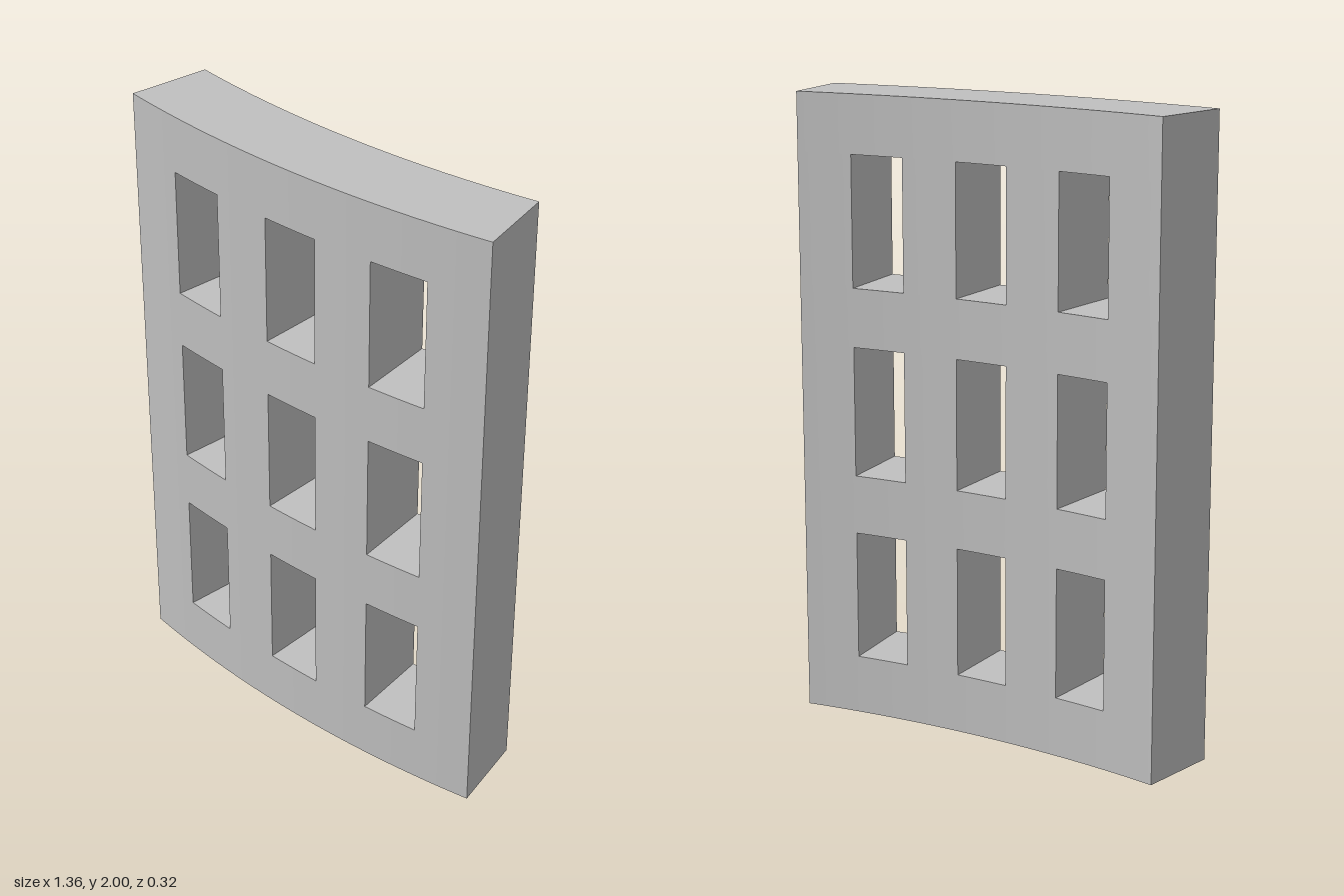
import * as THREE from 'three';

const OUTER = 4.01, INNER = 3.744, AXIS_Z = -3.85; // radii and axis of the curved wall
const STEPS = 6; // facets per angular band

// Band edges: odd bands in both directions are window openings
const ANGLES = [-0.1704, -0.1212, -0.0736, -0.0237, 0.0237, 0.0736, 0.1212, 0.1704];
const HEIGHTS = [0, 0.19, 0.606, 0.795, 1.211, 1.399, 1.815, 2];

const point = (a, r, y) => new THREE.Vector3(r * Math.sin(a), y, AXIS_Z + r * Math.cos(a));
const radial = (a, s) => new THREE.Vector3(s * Math.sin(a), 0, s * Math.cos(a));
const tangent = (a, s) => new THREE.Vector3(s * Math.cos(a), 0, -s * Math.sin(a));

function solid(i, j) {
  if (i < 0 || j < 0 || i > 6 || j > 6) return false;
  return !(i % 2 === 1 && j % 2 === 1);
}

function curvedWallGeometry() {
  const positions = [], normals = [];

  // Adds a quad, turning its corners to agree with the normals
  function quad(p, n) {
    const cross = p[1].clone().sub(p[0]).cross(p[2].clone().sub(p[0]));
    const order = cross.dot(n[0]) > 0 ? [0, 1, 2, 0, 2, 3] : [0, 2, 1, 0, 3, 2];
    for (const k of order) {
      positions.push(...p[k].toArray());
      normals.push(...n[k].toArray());
    }
  }

  for (let i = 0; i < 7; i++) {
    for (let j = 0; j < 7; j++) {
      if (!solid(i, j)) continue;
      const y0 = HEIGHTS[j], y1 = HEIGHTS[j + 1];

      for (let k = 0; k < STEPS; k++) {
        const a = THREE.MathUtils.lerp(ANGLES[i], ANGLES[i + 1], k / STEPS);
        const b = THREE.MathUtils.lerp(ANGLES[i], ANGLES[i + 1], (k + 1) / STEPS);

        // Front and back curved faces
        for (const [r, s] of [[OUTER, 1], [INNER, -1]]) {
          quad([point(a, r, y0), point(b, r, y0), point(b, r, y1), point(a, r, y1)],
            [radial(a, s), radial(b, s), radial(b, s), radial(a, s)]);
        }
        // Top, bottom, sills and lintels
        for (const [y, s] of [[y0, -1], [y1, 1]]) {
          if (solid(i, j + s)) continue;
          const n = new THREE.Vector3(0, s, 0);
          quad([point(a, INNER, y), point(b, INNER, y), point(b, OUTER, y), point(a, OUTER, y)],
            [n, n, n, n]);
        }
      }

      // Wall ends and window jambs
      for (const [a, s] of [[ANGLES[i], -1], [ANGLES[i + 1], 1]]) {
        if (solid(i + s, j)) continue;
        const n = tangent(a, s);
        quad([point(a, INNER, y0), point(a, OUTER, y0), point(a, OUTER, y1), point(a, INNER, y1)],
          [n, n, n, n]);
      }
    }
  }

  const geometry = new THREE.BufferGeometry();
  geometry.setAttribute('position', new THREE.Float32BufferAttribute(positions, 3));
  geometry.setAttribute('normal', new THREE.Float32BufferAttribute(normals, 3));
  return geometry;
}

export function createModel() {
  const grey = new THREE.MeshStandardMaterial({ color: 0xc0c0c0 });
  grey.name = 'light grey';

  const wall = new THREE.Mesh(curvedWallGeometry(), grey);
  wall.name = 'curvedWindowWall';

  const model = new THREE.Group();
  model.name = 'curvedFacade';
  model.add(wall);
  return model;
}
